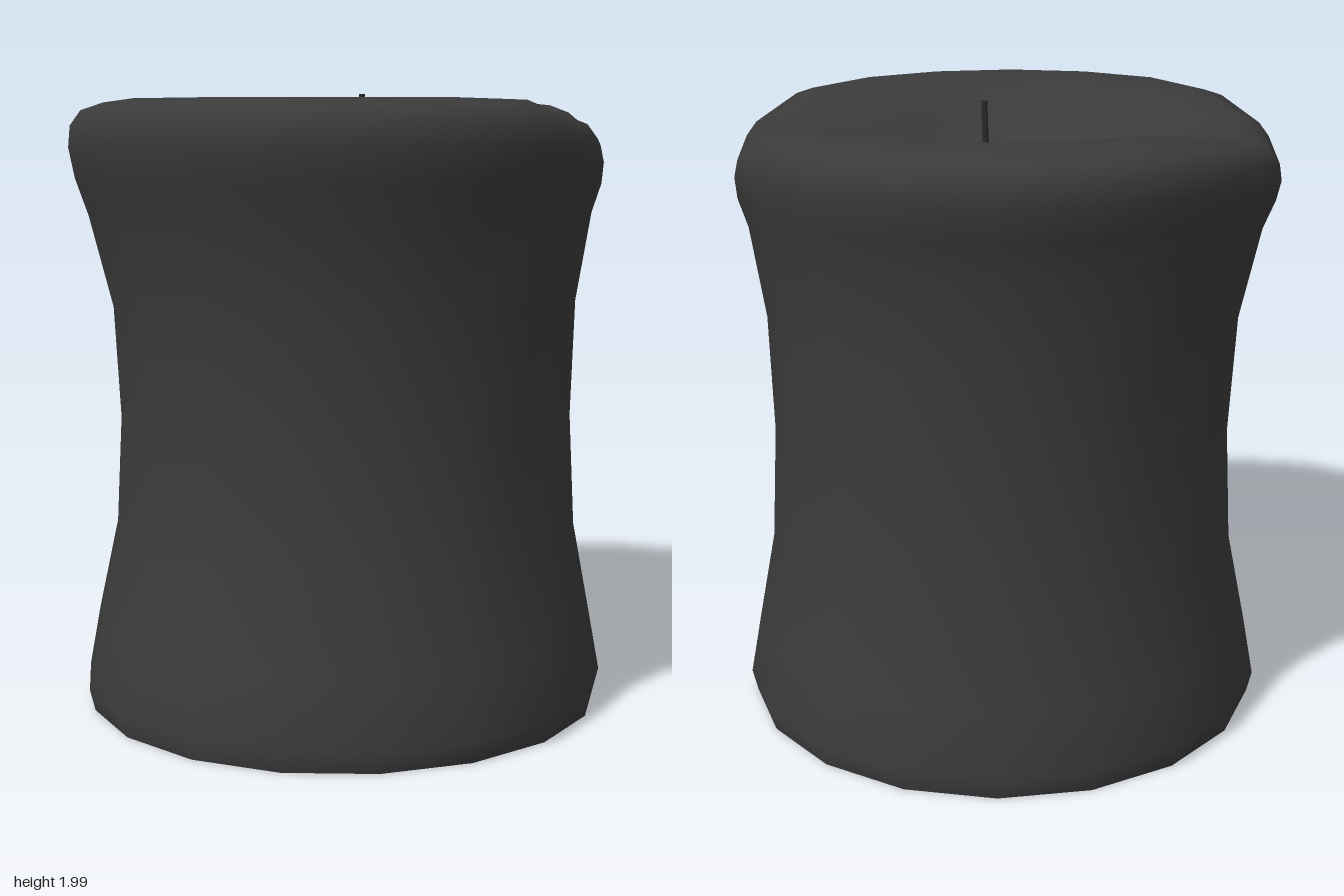
import * as THREE from 'three';

const SIDES = 18;

// Body rings: [radius, height, x shift, z shift], from the foot up, over the rim and into the hollow
const RINGS = [
  [0.845, 0.01, 0.01, -0.01], [0.862, 0.08, 0.01, -0.01], [0.825, 0.28, 0.01, -0.01],
  [0.765, 0.58, 0.01, -0.02], [0.746, 0.95, 0.01, -0.02], [0.762, 1.33, 0.005, -0.02],
  [0.82, 1.62, 0, 0], [0.857, 1.74, 0, 0], [0.872, 1.84, 0, 0], [0.864, 1.91, 0, 0],
  [0.83, 1.957, 0, 0], [0.76, 1.981, 0, 0], [0.62, 1.979, 0, 0], [0.49, 1.952, 0, 0],
  [0.38, 1.908, 0, 0], [0.26, 1.838, 0, 0], [0.13, 1.793, 0, 0],
];

// Smooth bump around the rim, centred on angle c
const bump = (a, c, w) => {
  const d = Math.atan2(Math.sin(a - c), Math.cos(a - c));
  return Math.exp(-(d * d) / (w * w));
};

function ringPoint([r, y, dx, dz], i) {
  const a = (i / SIDES) * Math.PI * 2 - 0.04;
  const rim = THREE.MathUtils.smoothstep(y, 1.6, 1.95);
  // Two sags in the rim, one on each side, and a slightly shrunken back corner
  const sag = 0.085 * bump(a, -0.28, 0.35) + 0.09 * bump(a, Math.PI - 0.08, 0.45);
  const inset = 1 - 0.035 * rim * bump(a, -0.6, 0.4);
  return [
    Math.cos(a) * r * inset + dx,
    y - sag * rim,
    Math.sin(a) * r * (1.02 + 0.03 * rim) * inset + dz,
  ];
}

function bodyGeometry() {
  const pos = [], index = [];
  RINGS.forEach((ring) => {
    for (let i = 0; i < SIDES; i++) pos.push(...ringPoint(ring, i));
  });
  for (let k = 0; k < RINGS.length - 1; k++) {
    for (let i = 0; i < SIDES; i++) {
      const j = (i + 1) % SIDES;
      const a = k * SIDES + i, b = k * SIDES + j;
      index.push(a, a + SIDES, b, b, a + SIDES, b + SIDES);
    }
  }
  // Floor of the hollow
  const last = (RINGS.length - 1) * SIDES, centre = pos.length / 3;
  pos.push(0, 1.78, 0);
  for (let i = 0; i < SIDES; i++) index.push(last + i, centre, last + ((i + 1) % SIDES));
  const g = new THREE.BufferGeometry();
  g.setAttribute('position', new THREE.Float32BufferAttribute(pos, 3));
  g.setIndex(index);
  g.computeVertexNormals();
  return g;
}

export function createModel() {
  const model = new THREE.Group();
  model.name = 'candle';
  // The wax is a thin shell, open underneath
  const wax = new THREE.MeshStandardMaterial({ color: 0x3b3b3b, side: THREE.DoubleSide });
  const char = new THREE.MeshStandardMaterial({ color: 0x2a2a2a });
  const add = (name, geometry, material) => {
    const mesh = new THREE.Mesh(geometry, material);
    mesh.name = name;
    model.add(mesh);
  };

  add('waxBody', bodyGeometry(), wax);

  // Thin, slightly bent wick with a closed tip
  const path = new THREE.CatmullRomCurve3([
    new THREE.Vector3(0.05, 1.77, -0.04),
    new THREE.Vector3(0.055, 1.86, -0.045),
    new THREE.Vector3(0.06, 2.0, -0.045),
  ]);
  add('wick', new THREE.TubeGeometry(path, 6, 0.01, 6), char);
  const tip = new THREE.CircleGeometry(0.01, 6);
  tip.rotateX(-Math.PI / 2).translate(0.06, 2.0, -0.045);
  add('wickTip', tip, char);
  return model;
}
